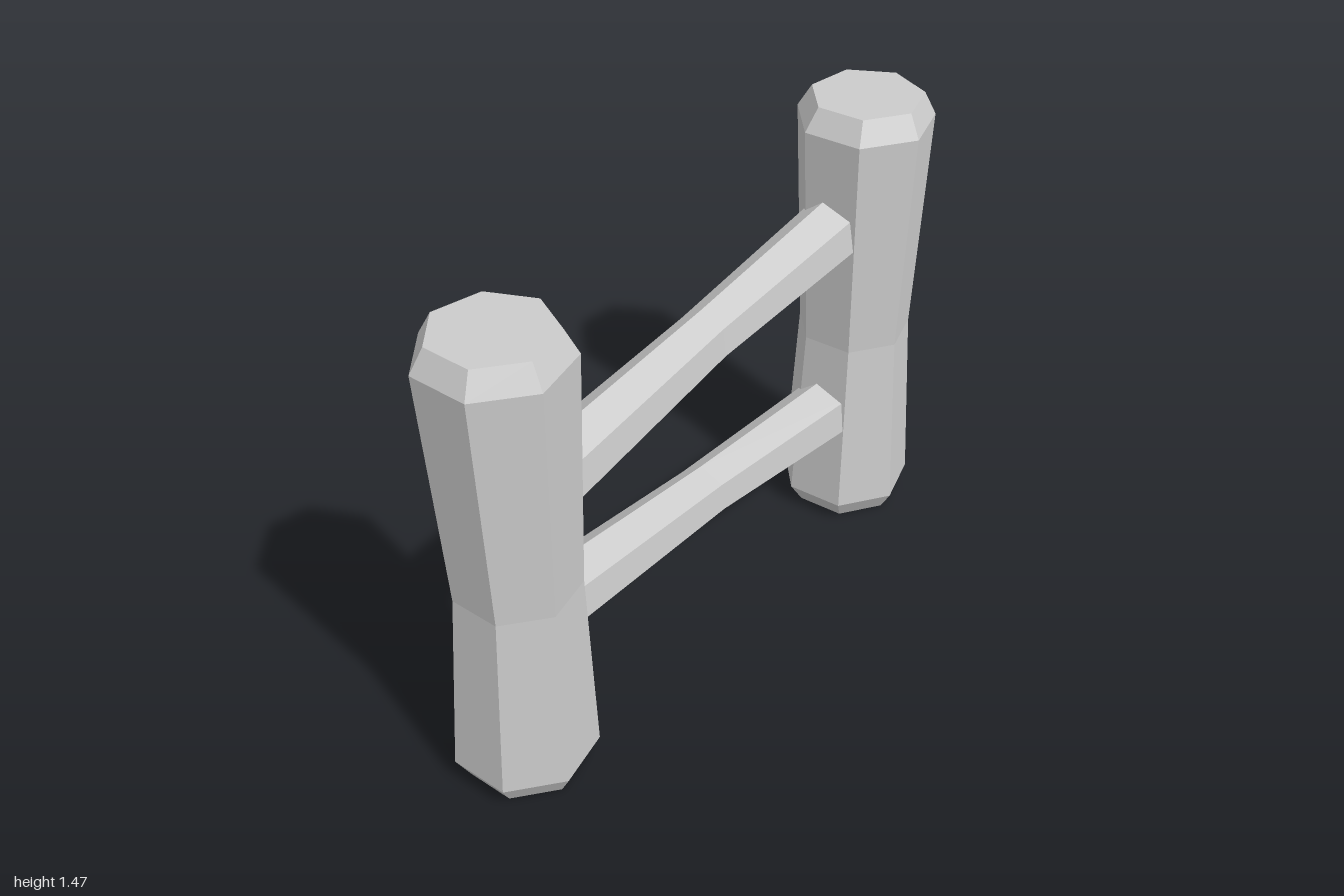
import * as THREE from 'three';

const material = new THREE.MeshStandardMaterial({ color: 0xcccccc, flatShading: true });

// Closed solid through rings of points, each running counter-clockwise about the direction of travel
function loft(rings) {
  const n = rings[0].length, last = (rings.length - 1) * n, index = [];
  for (let r = 0; r < rings.length - 1; r++) {
    for (let i = 0; i < n; i++) {
      const a = r * n + i, b = r * n + (i + 1) % n;
      index.push(a, b, b + n, a, b + n, a + n);
    }
  }
  for (let i = 1; i < n - 1; i++) {
    index.push(0, i + 1, i, last, last + i, last + i + 1);
  }
  const indexed = new THREE.BufferGeometry().setFromPoints(rings.flat());
  indexed.setIndex(index);
  const geometry = indexed.toNonIndexed();
  geometry.computeVertexNormals();
  return geometry;
}

function ring(sides, start, place) {
  return Array.from({ length: sides }, (_, i) => place(start + (i / sides) * Math.PI * 2));
}

function part(name, rings) {
  const mesh = new THREE.Mesh(loft(rings), material);
  mesh.name = name;
  return mesh;
}

// Seven-sided upright, waisted in the middle with bevelled ends; levels are [y, radius, x, z]
function post(name, turn, levels) {
  return part(name, levels.map(([y, r, x, z]) =>
    ring(7, Math.PI + turn, (t) => new THREE.Vector3(x + r * Math.sin(t), y, z + r * Math.cos(t)))));
}

// Six-sided crossbar, thinner in the middle; stations are [z, radius, x, y]
function rail(name, stations) {
  return part(name, stations.map(([z, r, x, y]) =>
    ring(6, Math.PI / 2 + 0.13, (t) => new THREE.Vector3(x + r * Math.cos(t), y + r * Math.sin(t), z))));
}

export function createModel() {
  const group = new THREE.Group();
  group.name = 'fence';

  // Uprights
  group.add(post('frontPost', 0, [
    [0, 0.173, -0.003, 0.806], [0.07, 0.2125, -0.003, 0.808], [0.665, 0.18, 0.004, 0.799],
    [1.4, 0.2125, -0.003, 0.808], [1.47, 0.173, -0.003, 0.806],
  ]));
  group.add(post('backPost', 0.07, [
    [0, 0.173, 0, -0.793], [0.07, 0.2125, 0, -0.787], [0.665, 0.18, 0, -0.79],
    [1.4, 0.2125, 0, -0.787], [1.47, 0.173, 0, -0.793],
  ]));

  // Crossbars, their ends buried in the uprights
  group.add(rail('upperRail', [
    [-0.7, 0.106, 0, 1.092], [-0.02, 0.086, -0.007, 1.01], [0.7, 0.106, 0, 0.916],
  ]));
  group.add(rail('lowerRail', [
    [-0.7, 0.106, 0, 0.4], [-0.02, 0.086, -0.007, 0.451], [0.7, 0.104, 0, 0.505],
  ]));

  return group;
}
